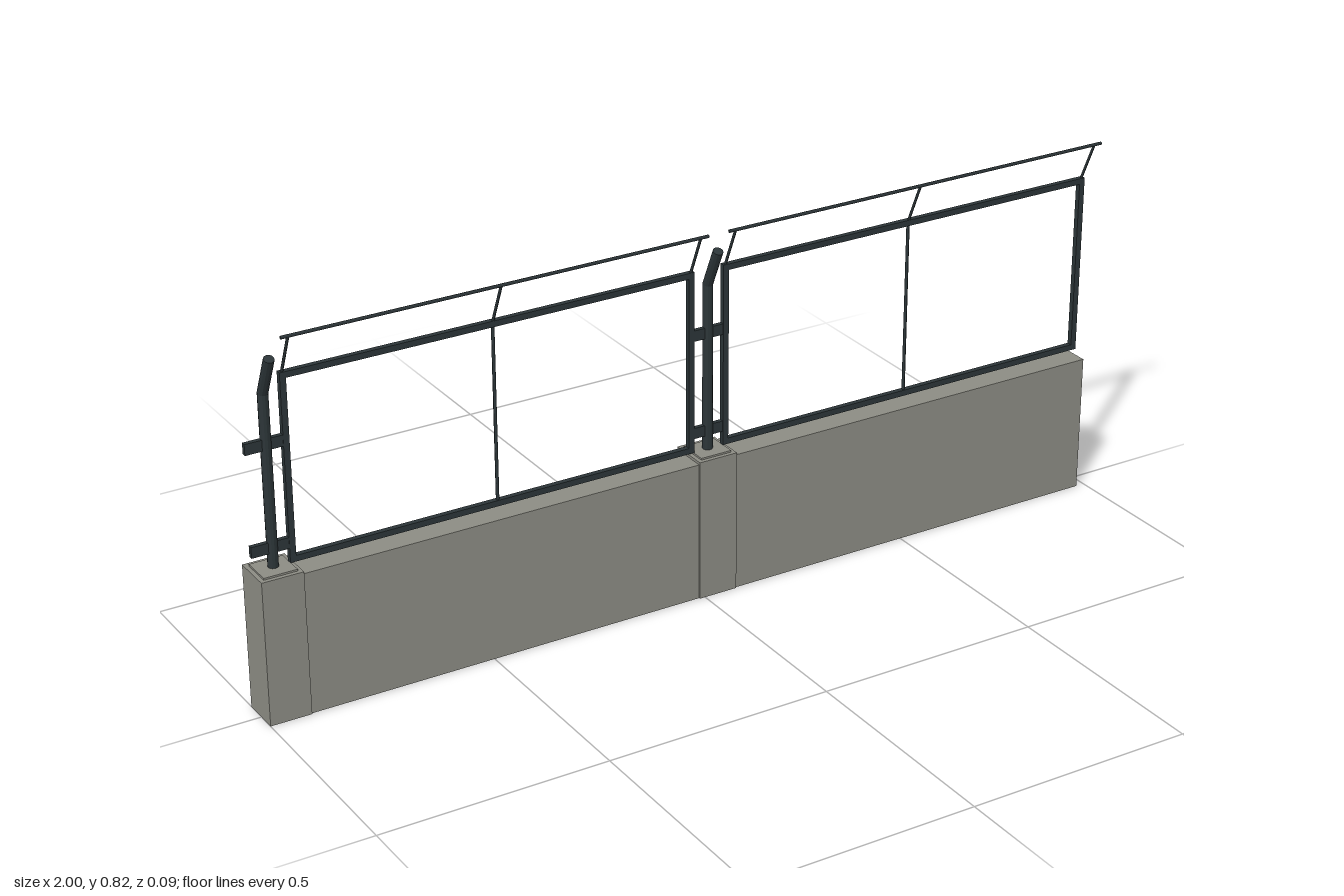
import * as THREE from 'three';

export function createModel() {
  const model = new THREE.Group();
  model.name = 'fenceOnWall';

  const concrete = new THREE.MeshStandardMaterial({ color: 0x8c8c84 });
  concrete.name = 'concrete';
  const metal = new THREE.MeshStandardMaterial({ color: 0x2c3538 });
  metal.name = 'dark metal';

  const Z = -0.003; // plane of the fence

  function add(parent, name, geometry, material, x, y, z) {
    const mesh = new THREE.Mesh(geometry, material);
    mesh.name = name;
    mesh.position.set(x, y, z);
    parent.add(mesh);
    return mesh;
  }
  // box given by its limits on each axis
  function box(parent, name, material, x0, x1, y0, y1, z0, z1) {
    return add(parent, name, new THREE.BoxGeometry(x1 - x0, y1 - y0, z1 - z0), material,
      (x0 + x1) / 2, (y0 + y1) / 2, (z0 + z1) / 2);
  }
  // round bar between two points
  function bar(parent, name, a, b, radius, sides) {
    const from = new THREE.Vector3(...a), to = new THREE.Vector3(...b);
    const dir = to.clone().sub(from), mid = from.clone().add(to).multiplyScalar(0.5);
    const mesh = add(parent, name, new THREE.CylinderGeometry(radius, radius, dir.length(), sides),
      metal, mid.x, mid.y, mid.z);
    mesh.quaternion.setFromUnitVectors(new THREE.Vector3(0, 1, 0), dir.normalize());
    return mesh;
  }

  // post section swept up and bent forward: rings joined into one tube
  function postGeometry() {
    const sides = 12, r = 0.011;
    const lean = Math.atan2(0.038, 0.086);
    const rings = [[0.318, Z, 0], [0.692, Z, lean / 2], [0.777, 0.036, lean]];
    const pos = [], index = [];
    for (const [y, z, tilt] of rings) {
      for (let i = 0; i < sides; i++) {
        const a = (i / sides) * Math.PI * 2;
        const s = Math.sin(a) * r;
        pos.push(Math.cos(a) * r, y - s * Math.sin(tilt), z + s * Math.cos(tilt));
      }
    }
    for (let k = 0; k < rings.length - 1; k++) {
      for (let i = 0; i < sides; i++) {
        const a = k * sides + i, b = k * sides + (i + 1) % sides;
        index.push(a, a + sides, b, b, a + sides, b + sides);
      }
    }
    const top = (rings.length - 1) * sides; // end cap
    for (let i = 1; i < sides - 1; i++) index.push(top, top + i + 1, top + i);
    let geometry = new THREE.BufferGeometry();
    geometry.setAttribute('position', new THREE.Float32BufferAttribute(pos, 3));
    geometry.setIndex(index);
    geometry = geometry.toNonIndexed();
    geometry.computeVertexNormals();
    return geometry;
  }
  const post = postGeometry();

  for (const x of [-1, -0.013]) {
    const bay = new THREE.Group();
    bay.name = 'fenceBay';
    bay.position.x = x;
    model.add(bay);

    // concrete pier and lower wall
    box(bay, 'pier', concrete, 0, 0.09, 0, 0.318, -0.047, 0.042);
    box(bay, 'wall', concrete, 0.09, x < -0.5 ? 0.987 : 0.993, 0, 0.312, -0.045, 0.039);
    box(bay, 'basePlate', concrete, 0.009, 0.081, 0.318, 0.322, -0.035, 0.033);

    // bent post with its brackets
    add(bay, 'post', post, metal, 0.046, 0, 0);
    for (const y of [0.365, 0.585])
      box(bay, 'bracket', metal, 0, 0.088, y - 0.012, y + 0.012, Z - 0.005, Z + 0.005);

    // rectangular panel frame
    const left = 0.08, right = 0.998, t = 0.013, d = 0.006;
    for (const s of [left, right - t])
      box(bay, 'frameUpright', metal, s, s + t, 0.322, 0.727, Z - d, Z + d);
    for (const y of [0.322, 0.714])
      box(bay, 'frameRail', metal, left + t, right - t, y, y + t, Z - d, Z + d);
    const middle = (left + right) / 2;
    bar(bay, 'middleRod', [middle, 0.33, Z], [middle, 0.72, Z], 0.0035, 6);

    // leaning arms carrying the top wire
    for (const ax of [left + t / 2, middle, right - t / 2])
      bar(bay, 'arm', [ax, 0.722, Z], [ax, 0.814, 0.037], 0.003, 6);
    bar(bay, 'topWire', [0.071, 0.815, 0.037], [1.01, 0.815, 0.037], 0.0035, 6);
  }
  return model;
}
